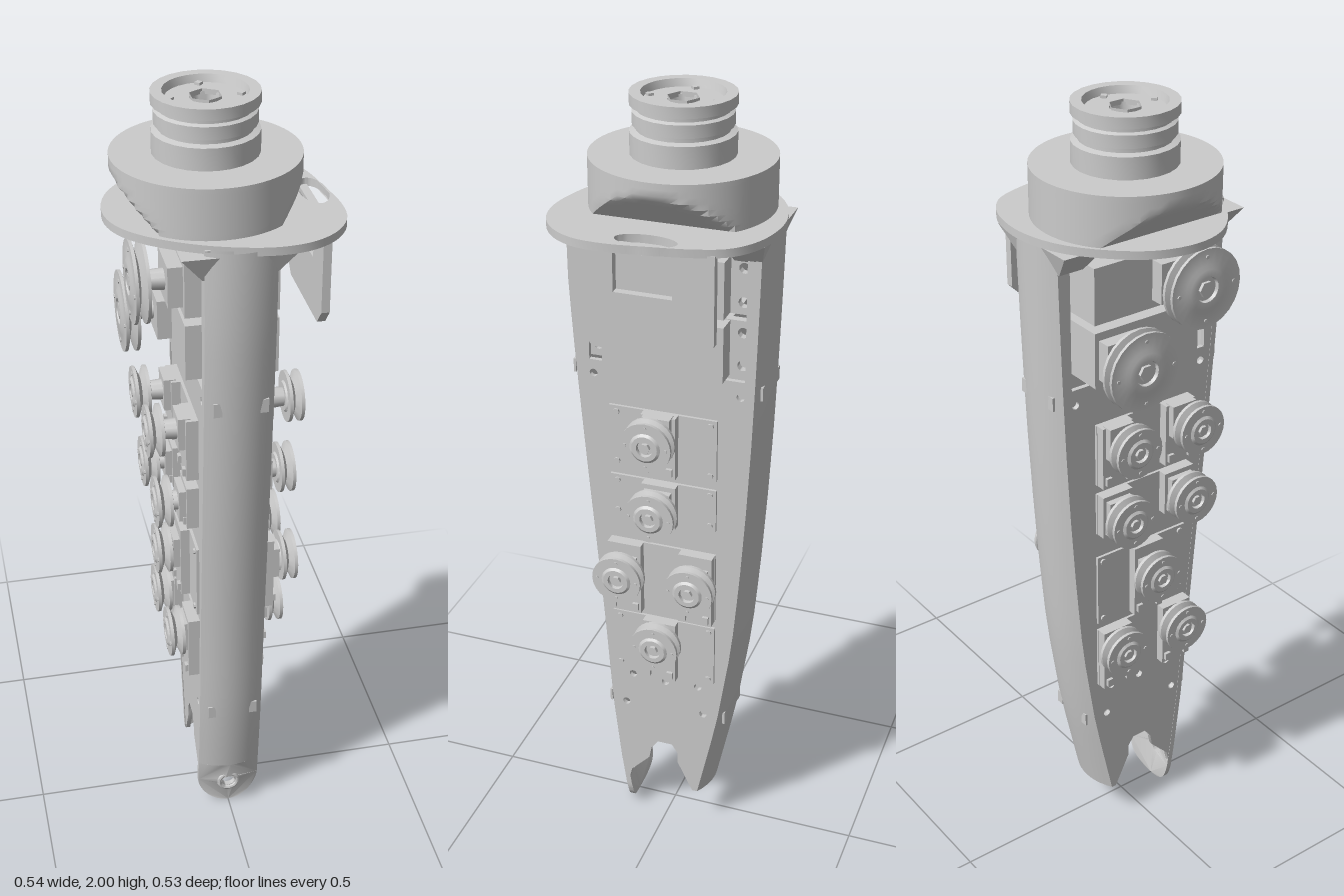
import * as THREE from 'three';
import { toCreasedNormals } from 'three/addons/utils/BufferGeometryUtils.js';

const mat = new THREE.MeshStandardMaterial({ color: 0xcccccc, side: THREE.DoubleSide });
const W = 0.082, BULGE = 0.025;

// side outline of the limb: [height, front z, back z]
const OUTLINE = [
  [0, 0.12, 0.09], [0.1, 0.142, 0.115], [0.35, 0.17, 0.168], [0.6, 0.187, 0.205], [0.8, 0.203, 0.222],
  [1, 0.22, 0.235], [1.2, 0.236, 0.245], [1.4, 0.251, 0.252], [1.55, 0.26, 0.256], [1.73, 0.262, 0.26],
];
function edge(y, k) {
  let i = 1;
  while (i < OUTLINE.length - 1 && OUTLINE[i][0] < y) i++;
  const a = OUTLINE[i - 1], b = OUTLINE[i];
  return THREE.MathUtils.lerp(a[k], b[k], THREE.MathUtils.clamp((y - a[0]) / (b[0] - a[0]), 0, 1));
}

function createModel() {
  const root = new THREE.Group();
  root.name = 'roboticForearm';
  const add = (name, geo, x = 0, y = 0, z = 0, parent = root) => {
    const m = new THREE.Mesh(toCreasedNormals(geo, 0.6), mat);
    m.name = name;
    m.position.set(x, y, z);
    parent.add(m);
    return m;
  };
  const box = (name, w, h, d, x, y, z, p) => add(name, new THREE.BoxGeometry(w, h, d), x, y, z, p);
  const shapeOf = pts => new THREE.Shape(pts.map(p => new THREE.Vector2(p[0], p[1])));
  const hole = (shape, x, y, rx, ry = rx) => shape.holes.push(new THREE.Path().absellipse(x, y, rx, ry, 0, Math.PI * 2, true));
  const extrude = (shape, depth) => new THREE.ExtrudeGeometry(shape, { depth, bevelEnabled: false, curveSegments: 16 });
  // shape drawn in (z, y), thickness running from xOuter towards -x
  const sidePlate = (name, shape, depth, xOuter) => add(name, extrude(shape, depth).rotateY(-Math.PI / 2), xOuter);
  const lathe = (pts, seg = 24) => new THREE.LatheGeometry(pts.map(p => new THREE.Vector2(p[0], p[1])), seg);

  // bowed front and back shells
  function shell(name, s, y0) {
    const n = 11, rows = 19, k = s > 0 ? 1 : 2, pos = [], idx = [];
    for (let j = 0; j < rows; j++) {
      const y = y0 + (1.73 - y0) * j / (rows - 1), zo = edge(y, k);
      for (let i = 0; i < 2 * n; i++) {
        const u = (i < n ? i : 2 * n - 1 - i) / (n - 1) * 2 - 1;
        pos.push(s * u * W, y, s * (zo - BULGE * u * u - (i < n ? 0 : 0.014)));
      }
    }
    const quad = (a, b, c, d) => idx.push(a, b, c, a, c, d);
    for (let j = 0; j < rows - 1; j++) for (let i = 0; i < 2 * n; i++) {
      const a = j * 2 * n + i, b = j * 2 * n + (i + 1) % (2 * n);
      quad(a, b, b + 2 * n, a + 2 * n);
    }
    for (let i = 0; i < n - 1; i++) quad(i, 2 * n - 1 - i, 2 * n - 2 - i, i + 1);
    const g = new THREE.BufferGeometry();
    g.setAttribute('position', new THREE.Float32BufferAttribute(pos, 3));
    g.setIndex(idx);
    add(name, g);
    for (const y of [0.36, 1.33]) for (const x of [-0.053, 0.057])
      box('shellSlot', 0.02, 0.035, 0.006, x, y, s * (edge(y, k) - BULGE * (x / W) ** 2));
  }
  shell('frontShell', 1, 0.15);
  shell('backShell', -1, 0.105);

  // rounded hinge tab closing the front shell, bent to the same bow
  const tab = new THREE.Shape();
  tab.moveTo(W, 0.15);
  for (let i = 1; i <= 8; i++) tab.lineTo(W - i * W / 4, 0.15);
  tab.absarc(0, W, W, Math.PI, Math.PI * 2, false);
  hole(tab, -0.003, 0.085, 0.018);
  const tabGeo = extrude(tab, 0.014), tp = tabGeo.attributes.position;
  for (let i = 0; i < tp.count; i++)
    tp.setZ(i, tp.getZ(i) - 0.014 + edge(tp.getY(i), 1) - BULGE * (tp.getX(i) / W) ** 2);
  add('hingeTab', tabGeo);
  add('hingeRing', new THREE.TorusGeometry(0.025, 0.006, 8, 20), -0.003, 0.085, 0.136);

  // side panels with notched foot and a large window for the upper motors
  for (const s of [-1, 1]) {
    const ys = OUTLINE.slice(2).map(o => o[0]);
    const inset = BULGE + 0.004;
    const panel = shapeOf([
      [0.108, 0.085], [0.098, 0.13], [0.047, 0.185], [0.04, 0.22], [0.022, 0.245], [-0.018, 0.245], [-0.034, 0.22],
      [-0.034, 0.19], [-0.075, 0.105], [-0.09, 0.105],
      ...ys.map(y => [-edge(y, 2) + inset, y]),
      ...ys.slice().reverse().map(y => [edge(y, 1) - inset, y]),
    ]);
    panel.holes.push(new THREE.Path([[0.19, 1.36], [-0.2, 1.36], [-0.2, 1.71], [0.19, 1.71]].map(p => new THREE.Vector2(...p))));
    for (const [z, y] of [[0.11, 0.36], [-0.105, 0.37], [0.18, 1.325], [-0.19, 1.32], [0.09, 0.455], [-0.09, 0.455], [0, 0.45]])
      hole(panel, z, y, 0.01);
    sidePlate('sidePanel', panel, 0.012, s > 0 ? 0.08 : -0.068);
  }
  // curved saddle in the foot notch
  add('wristSaddle', new THREE.CylinderGeometry(0.04, 0.055, 0.15, 16, 1, true, 0, Math.PI).rotateZ(Math.PI / 2), 0, 0.215, 0);
  box('saddleBlock', 0.15, 0.04, 0.1, 0, 0.285, 0);

  // grooved cable pulley whose axis points to side s
  function pulley(name, s, r, w, x, y, z) {
    const g = new THREE.Group();
    g.name = name;
    const h = w / 2;
    add('pulleyWheel', lathe([[0.012, -h], [r * 0.55, -h], [r * 0.62, -h * 0.8], [r, -h * 0.8], [r, -h * 0.45], [r * 0.62, 0],
      [r, h * 0.45], [r, h * 0.8], [r * 0.6, h * 0.8], [r * 0.5, h], [r * 0.32, h], [r * 0.3, h * 0.6], [0.012, h * 0.6]]), 0, 0, 0, g);
    add('pulleyBolt', new THREE.CylinderGeometry(r * 0.2, r * 0.2, w * 0.95, 6), 0, 0, 0, g);
    const len = Math.abs(x) - 0.07;
    add('driveShaft', new THREE.CylinderGeometry(0.022, 0.03, len, 12), 0, -len / 2, 0, g);
    for (let i = 0; i < 4; i++) {
      const a = i * Math.PI / 2;
      add('pulleyScrew', new THREE.CylinderGeometry(0.005, 0.005, 0.004, 6), r * 0.8 * Math.cos(a), h * 0.82, r * 0.8 * Math.sin(a), g);
    }
    g.rotation.z = -s * Math.PI / 2;
    g.position.set(x, y, z);
    root.add(g);
  }

  // small motors: [height, pulley x, body top, body bottom, side carrying a single motor]
  const ROWS = [[1.21, 0.18, 1.25, 1.085, 1], [1.005, 0.163, 1.06, 0.945, 1], [0.8, 0.15, 0.875, 0.675, -1], [0.6, 0.138, 0.655, 0.48, 1]];
  for (const [y, px, top, bottom, single] of ROWS) for (const s of [-1, 1]) {
    const h = top - bottom, mid = (top + bottom) / 2;
    box('motorPlate', 0.02, h, 0.275, s * 0.077, mid, 0.002);
    for (const z of s === single ? [0.006] : [0.098, -0.09]) {
      box('motorBody', 0.11, h, 0.088, s * 0.055, mid, z);
      box('gearHousing', 0.03, 0.085, 0.07, s * 0.112, y, z);
      pulley('smallPulley', s, 0.064, 0.046, s * px, y, z);
      for (const d of [-0.03, 0.03]) box('motorClip', 0.012, 0.02, 0.016, s * 0.112, bottom + 0.02, z + d);
    }
    for (const z of [-0.12, 0.12]) for (const e of [top - 0.015, bottom + 0.015])
      add('plateScrew', new THREE.CylinderGeometry(0.008, 0.008, 0.008, 8).rotateZ(Math.PI / 2), s * 0.088, e, z);
  }

  // two large upper motors with drilled mounting ears
  for (const [y, z] of [[1.595, 0.075], [1.435, -0.093]]) {
    box('largeMotor', 0.22, 0.14, 0.3, 0, y, -0.005);
    const ears = shapeOf([[0.195, y - 0.072], [0.195, y + 0.072], [-0.205, y + 0.072], [-0.205, y - 0.072]]);
    for (const ez of [0.173, -0.187]) for (const d of [-0.042, 0.042]) hole(ears, ez, y + d, 0.013);
    sidePlate('motorEars', ears, 0.02, 0.06);
    box('largeGearHousing', 0.04, 0.1, 0.12, -0.125, y, z * 0.9);
    pulley('largePulley', -1, 0.098, 0.044, -0.205, y, z);
  }

  // cam-shaped collar plate with an oval cable opening
  const rim = [[-0.27, 0.01], [-0.252, -0.08], [-0.2, -0.155], [-0.1, -0.235], [0, -0.265], [0.08, -0.262], [0.15, -0.24],
    [0.205, -0.195], [0.235, -0.12], [0.252, -0.03], [0.266, 0.07], [0.258, 0.15], [0.22, 0.212], [0.16, 0.252], [0.085, 0.265],
    [0, 0.252], [-0.1, 0.215], [-0.2, 0.15], [-0.252, 0.085]];
  const curve = new THREE.CatmullRomCurve3(rim.map(([x, z]) => new THREE.Vector3(x, -z, 0)), true);
  const collar = shapeOf(curve.getPoints(72).slice(0, -1).map(p => [p.x, p.y]));
  hole(collar, 0.221, 0.01, 0.034, 0.073);
  add('collarPlate', extrude(collar, 0.02).rotateX(-Math.PI / 2), 0, 1.72, 0);
  for (const z of [-0.2, 0.2])
    add('collarGusset', new THREE.CylinderGeometry(0.185, 0.115, 0.06, 4, 1).rotateY(Math.PI / 4).scale(1, 1, 0.4), -0.005, 1.69, z);

  // hanging side bracket with a window
  const bracket = shapeOf([[0.155, 1.725], [0.155, 1.51], [0.12, 1.47], [-0.13, 1.47], [-0.17, 1.51], [-0.17, 1.725]]);
  bracket.holes.push(new THREE.Path([[0.068, 1.61], [-0.072, 1.61], [-0.072, 1.715], [0.068, 1.715]].map(p => new THREE.Vector2(...p))));
  sidePlate('sideBracket', bracket, 0.02, 0.225);
  for (const z of [-0.12, 0.105]) box('bracketRib', 0.1, 0.035, 0.02, 0.16, 1.705, z);

  // wrist hub: a disc whose left and right flanks are cut by slanted planes
  const hub = new THREE.Group();
  hub.name = 'mountingHub';
  hub.position.set(-0.029, 0, -0.009);
  root.add(hub);
  const disc = new THREE.CylinderGeometry(0.218, 0.218, 0.12, 64, 8), dp = disc.attributes.position;
  for (let i = 0; i < dp.count; i++) {
    const limit = 0.218 - Math.max(0, 0.025 - dp.getY(i)) * 0.95;
    dp.setX(i, THREE.MathUtils.clamp(dp.getX(i), -limit, limit));
  }
  disc.computeVertexNormals();
  add('hubDisc', disc, 0, 1.8, 0, hub);
  for (const s of [-1, 1]) for (const a of [-0.34, 0, 0.34]) {
    const g = new THREE.Group();
    g.name = 'hubScrew';
    g.position.set(0.216 * Math.sin(a), 1.785, s * 0.216 * Math.cos(a));
    g.rotation.y = s > 0 ? a : Math.PI - a;
    add('screwRim', new THREE.TorusGeometry(0.027, 0.005, 6, 20), 0, 0, 0, g);
    add('screwHead', new THREE.CylinderGeometry(0.014, 0.014, 0.008, 6).rotateX(Math.PI / 2), 0, 0, 0, g);
  }
  // stepped neck with dished top and hex socket
  add('neck', lathe([[0.123, 1.85], [0.123, 1.912], [0.108, 1.916], [0.108, 1.925], [0.117, 1.928], [0.117, 1.958], [0.108, 1.962],
    [0.108, 1.97], [0.123, 1.974], [0.123, 2], [0.097, 2], [0.092, 1.982], [0.036, 1.982], [0.033, 1.95], [0, 1.95]]), 0, 0, 0, hub);
  add('hexSocket', new THREE.CylinderGeometry(0.038, 0.038, 0.012, 6, 1, true), 0, 1.982, 0, hub);
  for (let i = 0; i < 4; i++)
    add('neckPin', new THREE.CylinderGeometry(0.01, 0.01, 0.008, 4), 0.08 * Math.cos(i * Math.PI / 2), 1.984, 0.08 * Math.sin(i * Math.PI / 2), hub);
  return root;
}

export { createModel };
